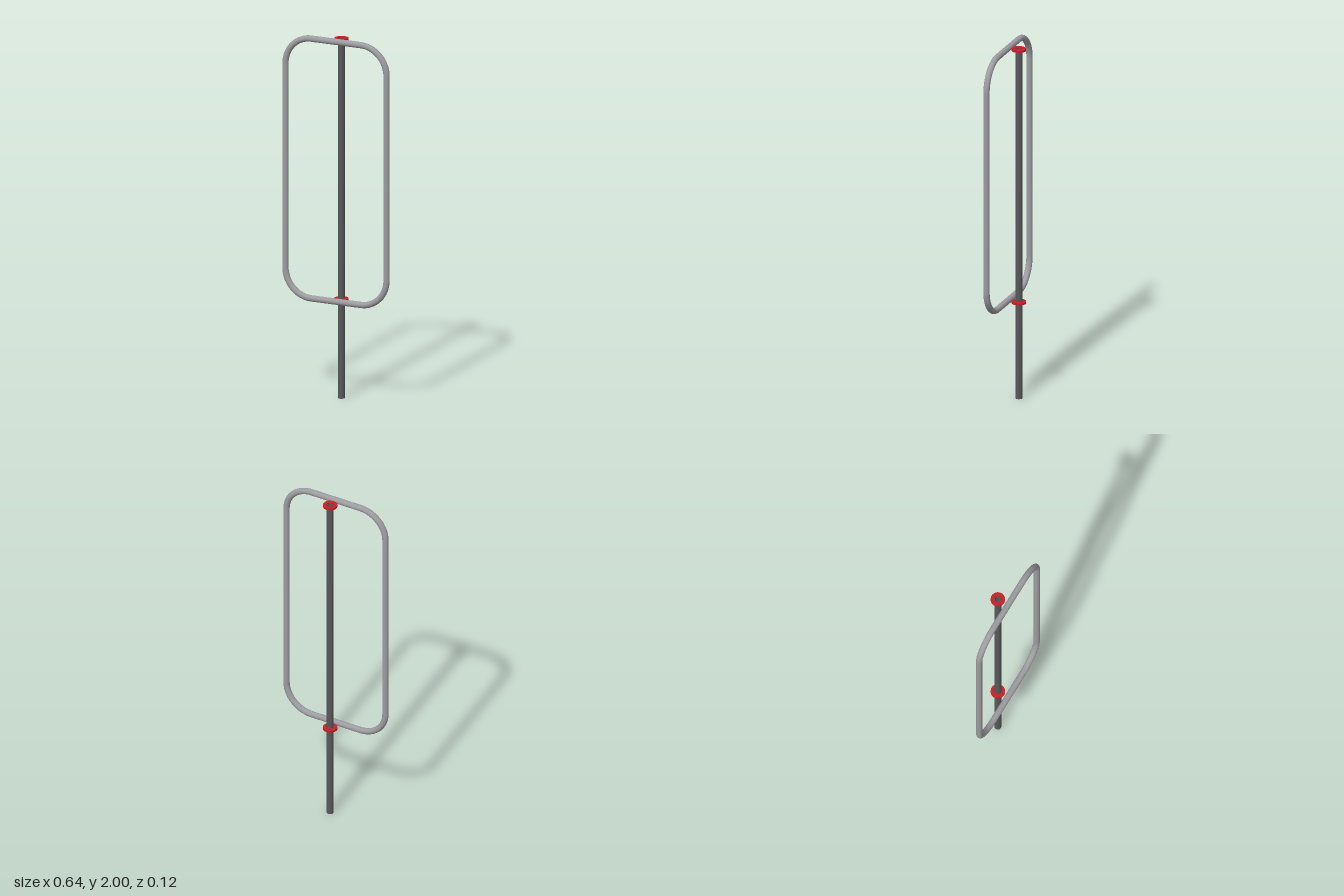
import * as THREE from 'three';

const mat = (name, color) => {
  const m = new THREE.MeshStandardMaterial({ color });
  m.name = name;
  return m;
};

export function createModel() {
  const steel = mat('lightSteel', 0x9c9ca0);
  const dark = mat('darkSteel', 0x58585a);
  const red = mat('red', 0xc42024);

  const group = new THREE.Group();
  group.name = 'poleWithFrame';
  const add = (parent, name, geometry, material, x, y, z) => {
    const mesh = new THREE.Mesh(geometry, material);
    mesh.name = name;
    mesh.position.set(x, y, z);
    parent.add(mesh);
    return mesh;
  };

  // Hollow ring or pipe standing on y = 0, with sharp rims and round walls
  const pipe = (outer, inner, height) => {
    const shape = new THREE.Shape().absarc(0, 0, outer, 0, Math.PI * 2, false);
    shape.holes.push(new THREE.Path().absarc(0, 0, inner, 0, Math.PI * 2, true));
    const g = new THREE.ExtrudeGeometry(shape, { depth: height, bevelEnabled: false, curveSegments: 32 });
    return g.rotateX(-Math.PI / 2);
  };

  // Upright pole and its two collars
  const poleZ = -0.022;
  add(group, 'pole', pipe(0.0185, 0.016, 1.985), dark, 0, 0, poleZ);
  add(group, 'lowerCollar', pipe(0.0385, 0.0182, 0.012), red, 0, 0.541, poleZ);
  add(group, 'upperCollar', pipe(0.0385, 0.0182, 0.012), red, 0, 1.979, poleZ);

  // Rounded rectangular frame bent from round bar
  const frame = new THREE.Group();
  frame.name = 'frame';
  frame.position.set(0, 1.265, 0.041);
  group.add(frame);
  const bar = 0.017, bend = 0.155, halfW = 0.305, halfH = 0.718;
  const cx = halfW - bend, cy = halfH - bend;
  const rod = (length) => new THREE.CylinderGeometry(bar, bar, length, 24, 1, true);
  for (const s of [1, -1]) {
    add(frame, s > 0 ? 'leftSide' : 'rightSide', rod(cy * 2), steel, s * halfW, 0, 0);
    add(frame, s > 0 ? 'topBar' : 'bottomBar', rod(cx * 2), steel, 0, s * halfH, 0).rotation.z = Math.PI / 2;
  }
  const corner = new THREE.TorusGeometry(bend, bar, 24, 16, Math.PI / 2);
  [[1, 1], [-1, 1], [-1, -1], [1, -1]].forEach(([sx, sy], i) => {
    add(frame, 'corner' + (i + 1), corner, steel, sx * cx, sy * cy, 0).rotation.z = i * Math.PI / 2;
  });

  return group;
}
